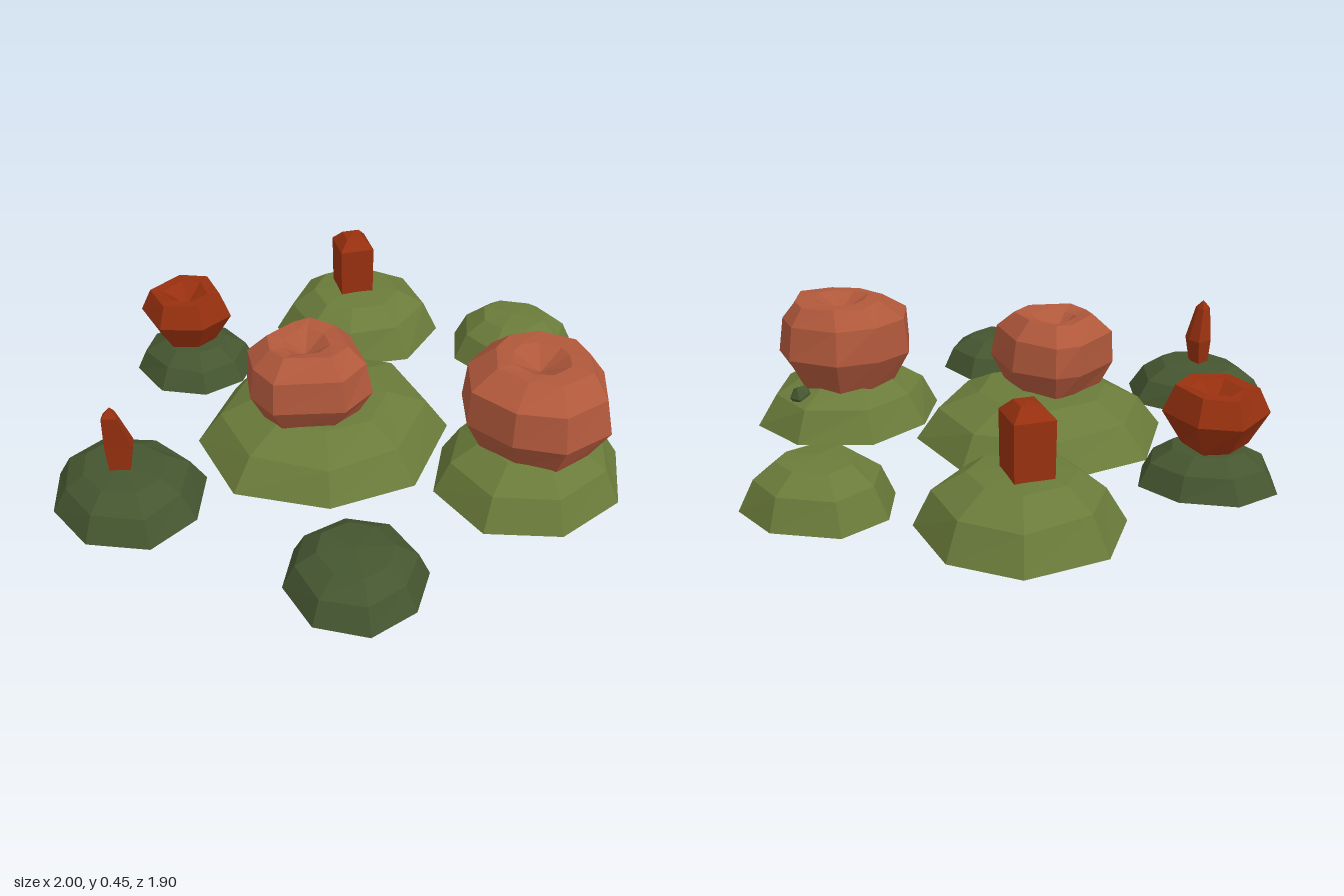
import * as THREE from 'three';

// Lofts a flat-shaded solid: one clockwise ground outline (x, z pairs) repeated at
// levels [y, scale, dx, dz], closed by a pole at the top and optionally at the bottom.
function loft(outline, levels, topY, bottomY, jitter = 0, seed = 1) {
  let s = seed * 7919;
  const rand = () => ((s = (s * 16807) % 2147483647) / 2147483647) * 2 - 1;
  const n = outline.length / 2;
  let cx = 0, cz = 0;
  for (let i = 0; i < n; i++) {
    cx += outline[2 * i] / n;
    cz += outline[2 * i + 1] / n;
  }
  const rings = levels.map(([y, k, dx = 0, dz = 0]) => {
    const ring = [];
    for (let i = 0; i < n; i++) {
      const exact = k === 1;
      const f = exact ? 1 : k * (1 + jitter * rand());
      const py = y === 0 ? 0 : y + jitter * 0.1 * rand();
      ring.push([cx + dx + (outline[2 * i] - cx) * f, py, cz + dz + (outline[2 * i + 1] - cz) * f]);
    }
    return ring;
  });
  const pos = [];
  const tri = (a, b, c) => pos.push(...a, ...b, ...c);
  const last = levels[levels.length - 1];
  const top = [cx + (last[2] || 0), topY, cz + (last[3] || 0)];
  for (let i = 0; i < n; i++) {
    const j = (i + 1) % n;
    for (let r = 0; r < rings.length - 1; r++) {
      const lo = rings[r], hi = rings[r + 1];
      tri(lo[j], lo[i], hi[i]);
      tri(lo[j], hi[i], hi[j]);
    }
    const rim = rings[rings.length - 1];
    tri(rim[j], rim[i], top);
    if (bottomY !== null) tri(rings[0][i], rings[0][j], [cx, bottomY, cz]);
  }
  const g = new THREE.BufferGeometry();
  g.setAttribute('position', new THREE.Float32BufferAttribute(pos, 3));
  g.computeVertexNormals();
  return g;
}

export function createModel() {
  const group = new THREE.Group();
  const material = (name, color) => {
    const m = new THREE.MeshStandardMaterial({ color, flatShading: true, side: THREE.DoubleSide });
    m.name = name;
    return m;
  };
  const moss = material('moss green', 0x6a7b3a);
  const darkMoss = material('dark moss green', 0x455630);
  const coral = material('coral', 0xb0583b);
  const rust = material('rust red', 0x97300f);

  const add = (name, geometry, mat) => {
    const mesh = new THREE.Mesh(geometry, mat);
    mesh.name = name;
    group.add(mesh);
    return mesh;
  };

  // Low domes, open underneath
  let seed = 1;
  const mound = (name, mat, h, outline) =>
    add(name, loft(outline, [[0, 1], [h * 0.6, 0.82], [h * 0.93, 0.52]], h, null, 0.04, seed++), mat);

  mound('centreMound', moss, 0.175,
    [-0.07, -0.49, 0.24, -0.33, 0.335, -0.02, 0.19, 0.27, -0.16, 0.365, -0.42, 0.21, -0.545, -0.09, -0.395, -0.38]);
  mound('frontMound', moss, 0.178,
    [0.07, 0.325, 0.32, 0.36, 0.46, 0.58, 0.4, 0.82, 0.155, 0.945, -0.1, 0.88, -0.235, 0.67, -0.15, 0.43]);
  mound('backLeftMound', moss, 0.187,
    [0.6, -0.71, 0.83, -0.57, 0.87, -0.34, 0.73, -0.12, 0.47, -0.085, 0.3, -0.24, 0.24, -0.42, 0.36, -0.64]);
  mound('leftMound', moss, 0.165,
    [0.74, 0.04 - 0.08 + 0.08, 0.91, 0, 0.995, 0.2, 0.94, 0.38, 0.81, 0.42, 0.63, 0.38, 0.54, 0.23, 0.58, 0.06]
      .map((v, i) => (i === 1 ? -0.04 : v)));
  mound('backMound', darkMoss, 0.125,
    [-0.05, -0.955, 0.1, -0.89, 0.17, -0.72, 0.13, -0.56, -0.02, -0.5, -0.17, -0.55, -0.245, -0.7, -0.185, -0.88]);
  mound('backRightMound', darkMoss, 0.133,
    [-0.805, -0.63, -0.63, -0.61, -0.52, -0.43, -0.53, -0.22, -0.71, -0.1, -0.9, -0.12, -1, -0.3, -0.95, -0.5]);
  mound('frontRightMound', darkMoss, 0.13,
    [-0.64, 0.235, -0.47, 0.3, -0.41, 0.455, -0.48, 0.63, -0.64, 0.69, -0.8, 0.64, -0.865, 0.48, -0.79, 0.31]);

  // Rounded blooms with a dented crown
  add('centreBloom', loft(
    [-0.27, -0.25, -0.06, -0.24, 0.02, -0.19, 0.025, -0.02, -0.1, 0.15, -0.24, 0.14, -0.39, -0.04, -0.36, -0.16],
    [[0.15, 0.72], [0.25, 1], [0.36, 0.95], [0.415, 0.64], [0.405, 0.38]], 0.35, 0.09, 0.05, 11), coral);
  add('frontBloom', loft(
    [0.06, 0.395, 0.22, 0.4, 0.34, 0.49, 0.37, 0.68, 0.29, 0.8, 0.14, 0.895, -0.04, 0.83, -0.11, 0.68, -0.08, 0.5],
    [[0.14, 0.72], [0.26, 1], [0.38, 0.93], [0.443, 0.64, 0.02], [0.445, 0.4, 0.01]], 0.39, 0.07, 0.05, 12), coral);
  add('backBloom', loft(
    [-0.13, -0.885, 0.06, -0.87, 0.125, -0.75, 0.03, -0.585, -0.12, -0.59, -0.205, -0.72],
    [[0.13, 0.62], [0.235, 1], [0.318, 0.78], [0.318, 0.5]], 0.26, 0.08, 0.05, 13), rust);

  // Upright buds
  add('squareBud', loft(
    [0.56, -0.51, 0.66, -0.43, 0.57, -0.32, 0.47, -0.4],
    [[0.16, 0.97], [0.36, 1], [0.398, 0.5]], 0.402, 0.13), rust);
  add('pointedBud', loft(
    [-0.81, -0.38, -0.765, -0.41, -0.7, -0.39, -0.72, -0.34, -0.755, -0.31],
    [[0.12, 0.72, -0.01], [0.22, 1], [0.335, 0.55, -0.03]], 0.365, 0.08), rust);

  // Pebble tucked into the front mound
  const pebble = add('pebble', new THREE.IcosahedronGeometry(0.042, 0), darkMoss);
  pebble.position.set(0.34, 0.125, 0.66);
  return group;
}
